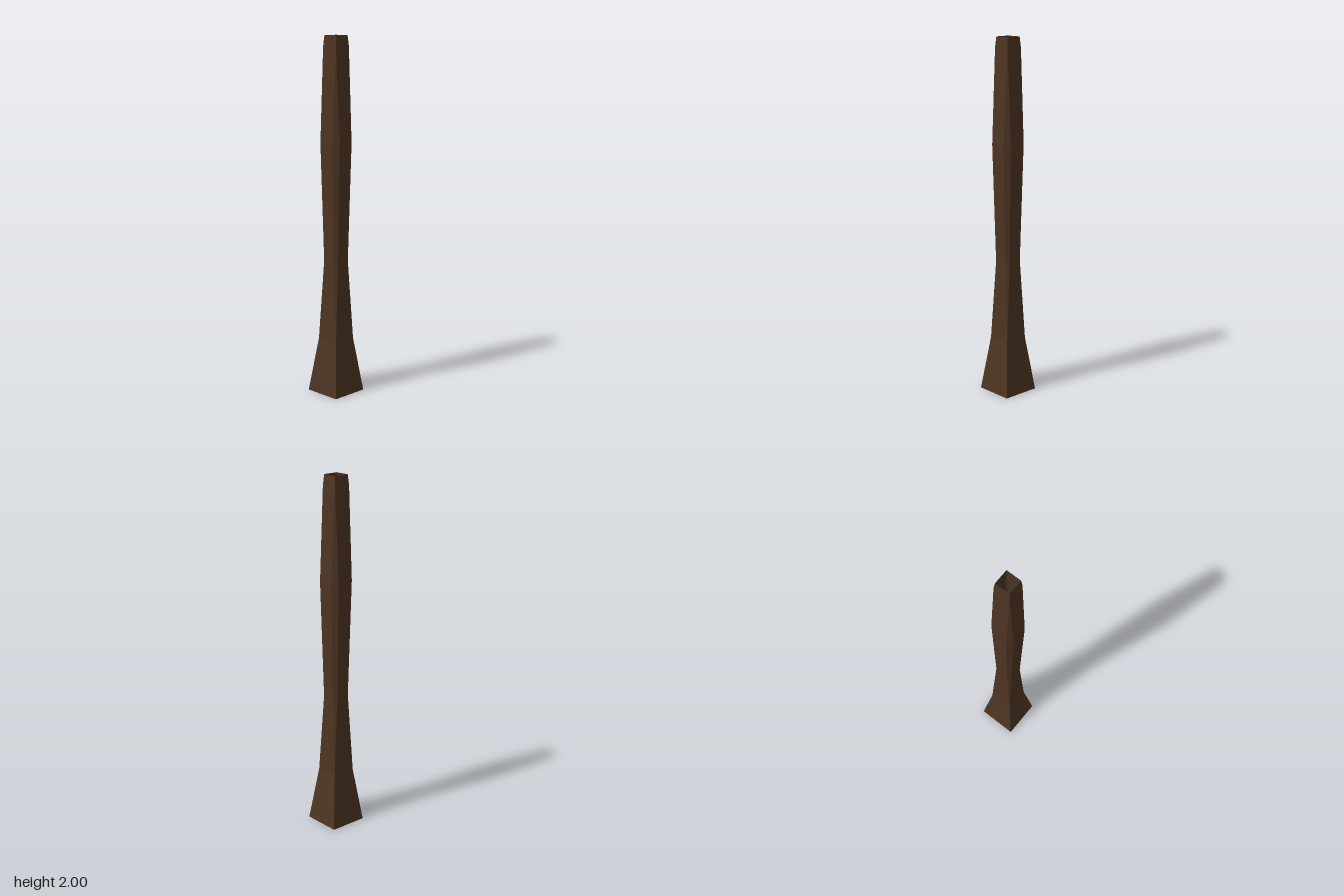
import * as THREE from 'three';

// Cross-sections, bottom to top: height, half width, half width of the flat face.
// Where both widths match, the chamfered corner closes to a sharp corner.
const SECTIONS = [
  [0, 0.11, 0.11],
  [0.31, 0.068, 0.068],
  [0.76, 0.055, 0.038],
  [1.42, 0.074, 0.046],
  [1.94, 0.049, 0.049],
  [2, 0.044, 0.044],
];

// Eight corners of a chamfered square, counter-clockwise seen from above
function ring([y, h, f]) {
  return [[h, f], [f, h], [-f, h], [-h, f], [-h, -f], [-f, -h], [f, -h], [h, -f]]
    .map(([x, z]) => new THREE.Vector3(x, y, -z));
}

function meshFrom(name, triangles, material) {
  const geometry = new THREE.BufferGeometry().setFromPoints(triangles);
  geometry.computeVertexNormals();
  const mesh = new THREE.Mesh(geometry, material);
  mesh.name = name;
  return mesh;
}

// Side walls between consecutive sections, leaving out collapsed triangles
function walls(sections) {
  const rings = sections.map(ring);
  const points = [];
  const add = (a, b, c) => {
    if (new THREE.Triangle(a, b, c).getArea() > 1e-9) points.push(a, b, c);
  };
  for (let k = 0; k < rings.length - 1; k++) {
    for (let i = 0; i < 8; i++) {
      const j = (i + 1) % 8;
      add(rings[k][i], rings[k][j], rings[k + 1][j]);
      add(rings[k][i], rings[k + 1][j], rings[k + 1][i]);
    }
  }
  return points;
}

export function createModel() {
  const model = new THREE.Group();
  model.name = 'woodenPost';
  const wood = new THREE.MeshStandardMaterial({
    name: 'dark brown wood', color: 0x4d3422, flatShading: true, side: THREE.DoubleSide,
  });

  // Flared foot, chamfered shaft and the open collar at the top
  model.add(meshFrom('flaredFoot', walls(SECTIONS.slice(0, 2)), wood));
  model.add(meshFrom('chamferedShaft', walls(SECTIONS.slice(1, 5)), wood));
  model.add(meshFrom('topCollar', walls(SECTIONS.slice(4)), wood));

  // Underside of the foot
  const [a, , b, , c, , d] = ring(SECTIONS[0]);
  model.add(meshFrom('footUnderside', [a, c, b, a, d, c], wood));
  return model;
}
